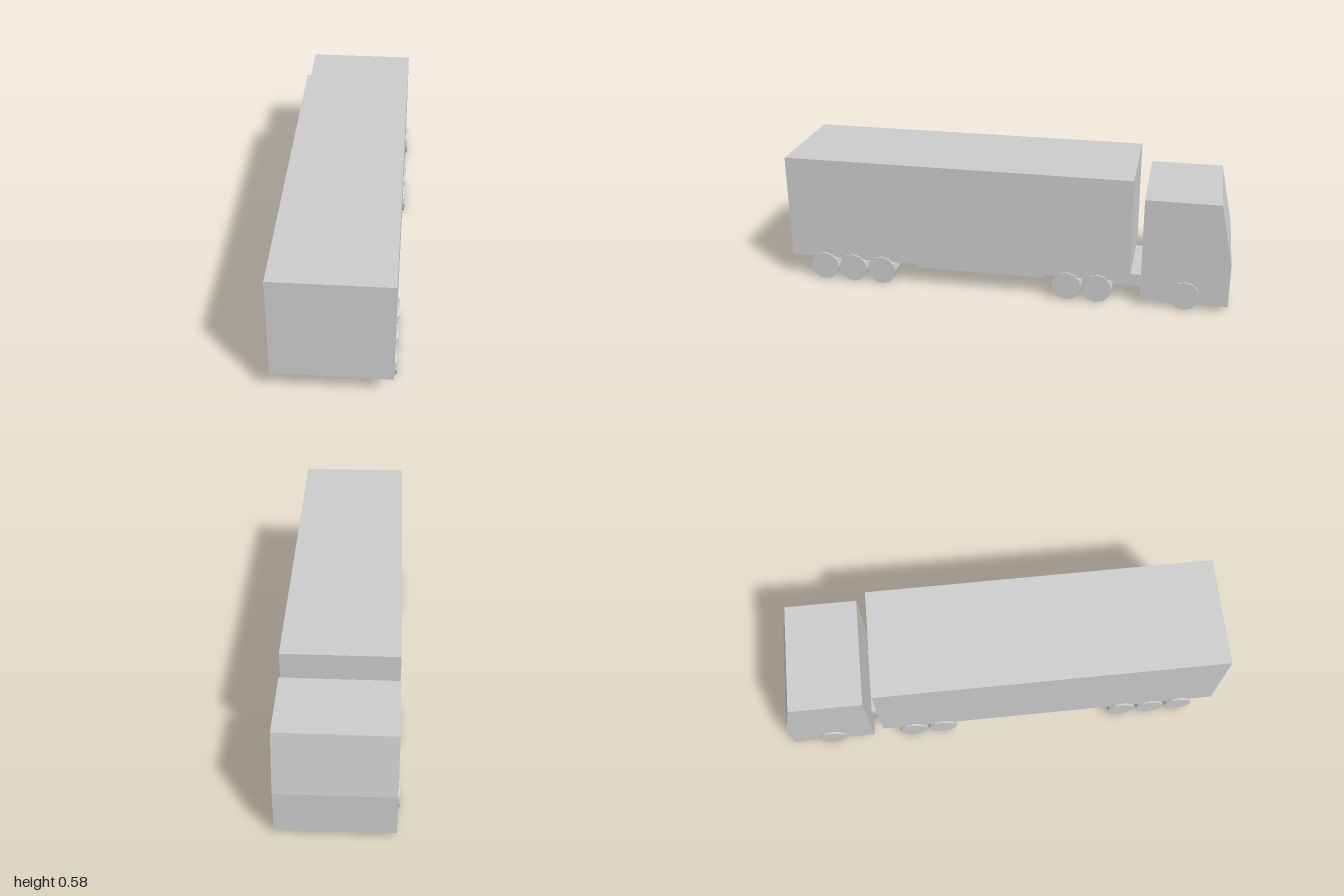
import * as THREE from 'three';

const material = new THREE.MeshStandardMaterial({ color: 0xcccccc, flatShading: true });

export function createModel() {
  const truck = new THREE.Group();
  truck.name = 'truck';

  const add = (name, geometry) => {
    const mesh = new THREE.Mesh(geometry, material);
    mesh.name = name;
    truck.add(mesh);
    return mesh;
  };

  // Box given by half width, bottom/top and z range
  const addBox = (name, halfWidth, y0, y1, z0, z1) => {
    add(name, new THREE.BoxGeometry(halfWidth * 2, y1 - y0, z1 - z0))
      .position.set(0, (y0 + y1) / 2, (z0 + z1) / 2);
  };

  addBox('trailer', 0.248, 0.108, 0.585, -0.567, 1);
  addBox('underbodyBox', 0.158, 0.047, 0.108, -0.168, 0.432);
  addBox('tractorChassis', 0.158, 0.047, 0.104, -0.62, -0.35);

  // Cab: side profile with a sloped windscreen, extruded across the width
  // (shape x runs along -z, shape y is up)
  const profile = new THREE.Shape([
    [0.617, 0.026], [1, 0.026], [1, 0.23], [0.942, 0.502], [0.617, 0.502],
  ].map(([x, y]) => new THREE.Vector2(x, y)));
  const cab = new THREE.ExtrudeGeometry(profile, { depth: 0.496, bevelEnabled: false });
  cab.translate(0, 0, -0.248);
  cab.rotateY(Math.PI / 2);
  add('cab', cab);

  // Full-width wheel rollers, twelve sides with a corner at the bottom
  const roller = new THREE.CylinderGeometry(0.066, 0.066, 0.514, 12);
  roller.rotateZ(Math.PI / 2);
  const axles = {
    cabWheels: [-0.81],
    tractorWheels: [-0.424, -0.288],
    trailerWheels: [0.57, 0.706, 0.843],
  };
  for (const [name, positions] of Object.entries(axles)) {
    for (const z of positions) add(name, roller).position.set(0, 0.066, z);
  }

  return truck;
}
